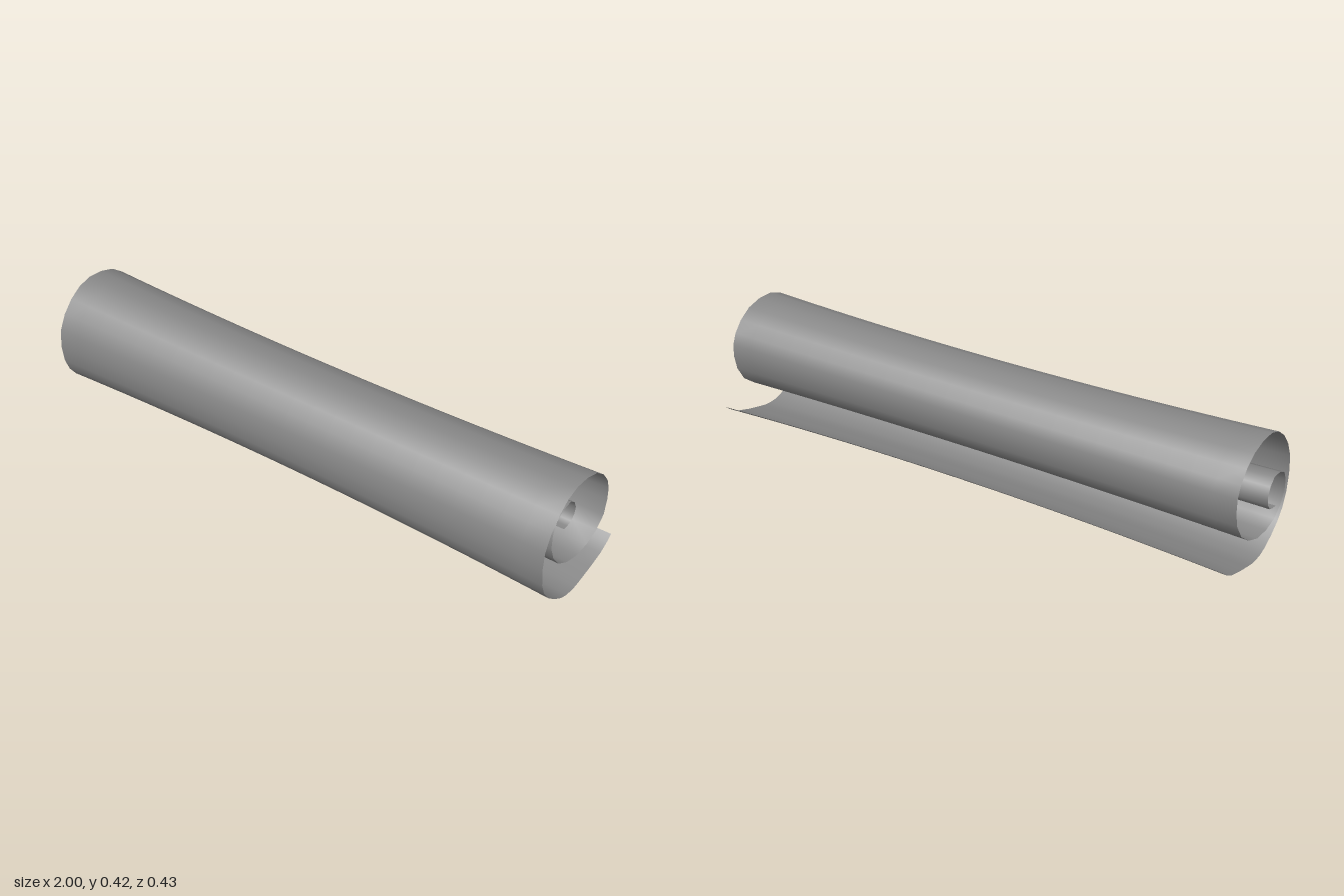
import * as THREE from 'three';

// Spiral profile at the sheet's ends as [z, y], from the core to the loose edge
const PROFILE = [
  [0.01, 0.212], [-0.03, 0.218], [-0.046, 0.263], [-0.002, 0.311],
  [0.081, 0.29], [0.11, 0.21], [0.069, 0.131], [-0.026, 0.105],
  [-0.117, 0.151], [-0.153, 0.249], [-0.137, 0.331], [-0.06, 0.402],
  [0.055, 0.42], [0.147, 0.374], [0.21, 0.276], [0.206, 0.152],
  [0.16, 0.073], [0.074, 0.014], [0.013, 0.002], [-0.039, 0.008],
  [-0.156, 0.037], [-0.215, 0.075],
];
const LENGTH = 1.95, CENTER_X = 0.025, AXIS_Y = 0.21;
const WAIST = 0.905;      // roll thickness at mid-length
const CORE_SLIDE = 0.05;  // how far the core has slipped out to one side
const CORE_ROWS = 17;     // rows over which the slip fades out

export function createModel() {
  const group = new THREE.Group();
  group.name = 'scroll';

  const rows = (PROFILE.length - 1) * 2;
  const spiral = new THREE.SplineCurve(PROFILE.map(([z, y]) => new THREE.Vector2(z, y))).getPoints(rows);

  // Flat sheet, rolled row by row along the spiral
  const columns = 24;
  const geometry = new THREE.PlaneGeometry(LENGTH, 1, columns, rows);
  const position = geometry.attributes.position;
  for (let row = 0; row <= rows; row++) {
    const slide = CORE_SLIDE * Math.max(0, 1 - (row / CORE_ROWS) ** 2);
    for (let col = 0; col <= columns; col++) {
      const i = row * (columns + 1) + col;
      const x = position.getX(i);
      const u = x / (LENGTH / 2);
      const scale = WAIST + (1 - WAIST) * u * u; // narrower towards the middle
      const p = spiral[row];
      position.setXYZ(i, x + CENTER_X - slide, AXIS_Y + (p.y - AXIS_Y) * scale, p.x * scale);
    }
  }
  geometry.computeVertexNormals();

  const sheet = new THREE.Mesh(
    geometry,
    new THREE.MeshStandardMaterial({ color: 0x878787, side: THREE.DoubleSide }),
  );
  sheet.name = 'rolledSheet';
  group.add(sheet);
  return group;
}
